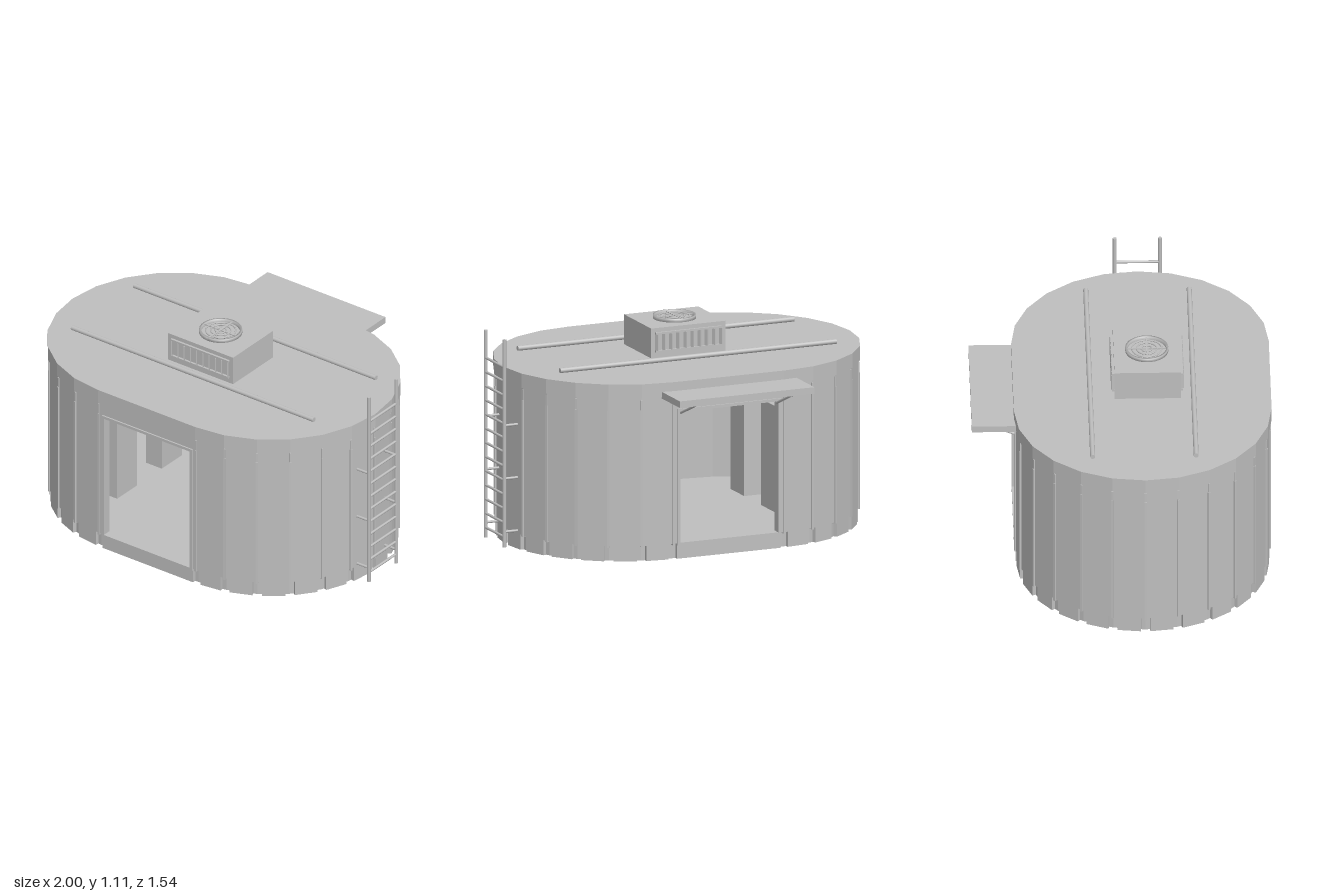
import * as THREE from 'three';

const CX = -0.03, CZ = 0.107;   // centre of the stadium plan
const HALF = 0.31, R = 0.66;    // half straight length, end radius
const STEP = Math.PI / 12;      // fifteen degrees per wall panel

export function createModel() {
  const root = new THREE.Group();
  const grey = new THREE.MeshStandardMaterial({ color: 0xbfbfbf });

  function add(name, geo, x, y, z, parent = root) {
    const m = new THREE.Mesh(geo, grey);
    m.name = name;
    m.position.set(x, y, z);
    parent.add(m);
    return m;
  }
  function group(name, x = CX, y = 0, z = CZ) {
    const g = new THREE.Group();
    g.name = name;
    g.position.set(x, y, z);
    root.add(g);
    return g;
  }
  // box given by its limits
  function block(name, x0, x1, y0, y1, z0, z1, parent = root) {
    return add(name, new THREE.BoxGeometry(x1 - x0, y1 - y0, z1 - z0),
      (x0 + x1) / 2, (y0 + y1) / 2, (z0 + z1) / 2, parent);
  }
  // round bar between two points
  function bar(name, a, b, r, parent = root) {
    const p = new THREE.Vector3(...a), q = new THREE.Vector3(...b);
    const d = q.clone().sub(p);
    const m = add(name, new THREE.CylinderGeometry(r, r, d.length(), 10), 0, 0, 0, parent);
    m.position.copy(p).add(q).multiplyScalar(0.5);
    m.quaternion.setFromUnitVectors(new THREE.Vector3(0, 1, 0), d.normalize());
    return m;
  }
  // flat slab with a faceted stadium outline
  function stadium(name, r, y0, y1) {
    const pts = [];
    for (const s of [1, -1]) {
      for (let i = 0; i <= 12; i++) {
        const a = -Math.PI / 2 + i * STEP;
        pts.push(new THREE.Vector2(s * (HALF + r * Math.cos(a)), s * r * Math.sin(a)));
      }
    }
    const geo = new THREE.ExtrudeGeometry(new THREE.Shape(pts), { depth: y1 - y0, bevelEnabled: false });
    geo.rotateX(-Math.PI / 2);
    return add(name, geo, CX, y0, CZ);
  }

  stadium('floor', 0.63, 0, 0.08);
  stadium('roof', R, 0.86, 0.935);

  // Curved end walls: panels, joint ribs and foot blocks
  const walls = group('endWalls');
  const mid = Math.cos(STEP / 2), width = 2 * 0.65 * Math.sin(STEP / 2);
  for (const s of [1, -1]) {
    const radial = (name, a, r, w, h, d, y) => {
      const m = add(name, new THREE.BoxGeometry(d, h, w),
        s * (HALF + (r - d / 2) * Math.cos(a)), y, (r - d / 2) * Math.sin(a), walls);
      m.rotation.y = s > 0 ? -a : Math.PI + a;
    };
    for (let i = 0; i < 12; i++) {
      const a = -Math.PI / 2 + (i + 0.5) * STEP;
      radial('wallPanel', a, 0.65 * mid, width, 0.78, 0.03, 0.47);
      radial('footBlock', a, 0.65 * mid, 0.12, 0.08, 0.05, 0.04);
    }
    for (let i = 0; i <= 12; i++) {
      const a = -Math.PI / 2 + i * STEP;
      radial('wallRib', a, 0.658, 0.012, 0.72, 0.03, 0.435);
      radial('ribCap', a, 0.655, 0.01, 0.055, 0.02, 0.822);
    }
  }

  // Straight front and back walls with doorways
  for (const s of [1, -1]) {
    const g = group(s > 0 ? 'frontDoorway' : 'backDoorway');
    if (s < 0) g.rotation.y = Math.PI;
    for (const t of [1, -1]) {
      add('jamb', new THREE.BoxGeometry(0.035, 0.78, 0.03), t * 0.2925, 0.47, 0.635, g);
      add('doorTrim', new THREE.BoxGeometry(0.015, 0.71, 0.05), t * 0.2825, 0.43, 0.633, g);
    }
    block('lintel', -0.31, 0.31, 0.79, 0.86, 0.62, 0.65, g);
    block('topTrim', -0.29, 0.29, 0.775, 0.79, 0.608, 0.658, g);
    block('threshold', -0.29, 0.29, 0.07, 0.085, 0.608, 0.658, g);
    block('sill', -0.29, 0.29, 0, 0.07, 0.6, 0.65, g);
  }

  // Cabinets inside, a pair at either end
  for (const s of [1, -1]) {
    for (const z of [-0.04, 0.34]) {
      add('cabinet', new THREE.BoxGeometry(0.1, 0.56, 0.17), CX + s * 0.495, 0.36, z);
    }
  }

  // Canopy over the back door, hollow underneath
  const canopy = group('canopy', 0, 0, 0);
  block('canopyTop', -0.41, 0.345, 0.875, 0.888, -0.77, -0.54, canopy);
  block('canopyLip', -0.41, 0.345, 0.853, 0.875, -0.77, -0.757, canopy);
  block('canopySide', -0.41, -0.397, 0.853, 0.875, -0.757, -0.54, canopy);
  block('canopySide', 0.332, 0.345, 0.853, 0.875, -0.757, -0.54, canopy);
  for (const x of [-0.3, 0.24]) bar('canopyStrut', [x, 0.768, -0.545], [x, 0.858, -0.755], 0.007, canopy);

  // Roof rails
  for (const z of [0.37, -0.16]) bar('roofRail', [-0.805, 0.955, z], [0.745, 0.955, z], 0.013);

  // Rooftop cooling unit with side grilles
  const unit = group('coolingUnit', CX, 0.935, 0.135);
  block('unitBody', -0.21, 0.207, 0, 0.157, -0.17, 0.17, unit);
  for (const s of [1, -1]) {
    const g = new THREE.Group();
    g.name = 'grille';
    g.rotation.y = s > 0 ? 0 : Math.PI;
    unit.add(g);
    block('grilleEdge', -0.185, 0.185, 0.03, 0.04, 0.17, 0.182, g);
    block('grilleEdge', -0.185, 0.185, 0.125, 0.135, 0.17, 0.182, g);
    for (let i = 0; i < 10; i++) {
      const slat = add('slat', new THREE.BoxGeometry(0.006, 0.085, 0.022), -0.18 + i * 0.04, 0.0825, 0.176, g);
      slat.rotation.y = 0.5;
    }
  }

  // Fan guard: rim, rings and spokes
  const rim = new THREE.LatheGeometry([[0.1, 0], [0.111, 0], [0.111, 0.018], [0.1, 0.018], [0.1, 0]]
    .map(p => new THREE.Vector2(...p)), 32);
  rim.computeVertexNormals();
  add('fanRim', rim, 0, 0.157, 0, unit);
  for (const r of [0.028, 0.052, 0.077]) {
    const ring = add('fanRing', new THREE.TorusGeometry(r, 0.004, 6, 32), 0, 0.168, 0, unit);
    ring.rotation.x = Math.PI / 2;
  }
  add('fanSpoke', new THREE.BoxGeometry(0.21, 0.007, 0.007), 0, 0.168, 0, unit);
  add('fanSpoke', new THREE.BoxGeometry(0.007, 0.007, 0.21), 0, 0.168, 0, unit);

  // Ladder on the side wall
  const ladder = group('ladder', 0, 0, 0);
  for (const z of [-0.006, 0.226]) {
    bar('ladderPost', [0.988, 0.015, z], [0.988, 1.108, z], 0.01, ladder);
    for (const y of [0.095, 0.375, 0.655]) bar('ladderBracket', [0.89, y, z], [0.988, y, z], 0.007, ladder);
  }
  for (let i = 0; i < 13; i++) {
    const y = 0.068 + i * 0.0745;
    bar('ladderRung', [0.988, y, -0.006], [0.988, y, 0.226], 0.007, ladder);
  }
  return root;
}
